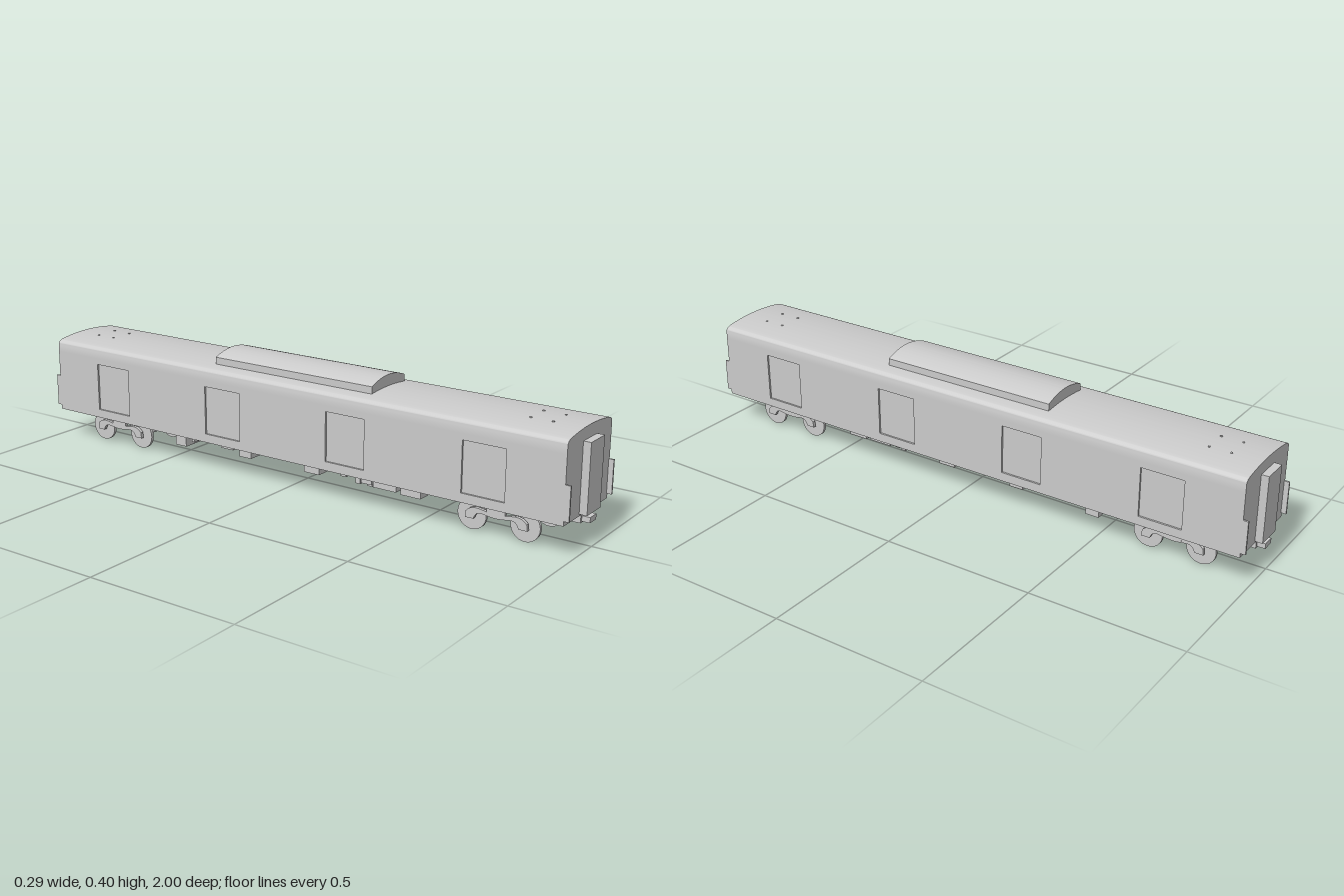
import * as THREE from 'three';
import { toCreasedNormals } from 'three/addons/utils/BufferGeometryUtils.js';

const material = new THREE.MeshStandardMaterial({ color: 0xcccccc });

function add(parent, name, geometry, x = 0, y = 0, z = 0) {
  const mesh = new THREE.Mesh(geometry, material);
  mesh.name = name;
  mesh.position.set(x, y, z);
  parent.add(mesh);
  return mesh;
}

// Box given by its limits on each axis
function addBox(parent, name, [x0, x1], [y0, y1], [z0, z1]) {
  return add(parent, name, new THREE.BoxGeometry(x1 - x0, y1 - y0, z1 - z0),
    (x0 + x1) / 2, (y0 + y1) / 2, (z0 + z1) / 2);
}

// Cross-section in x and y, run along z and centred
function extrudeAlongZ(shape, length) {
  const g = new THREE.ExtrudeGeometry(shape, { depth: length, bevelEnabled: false, curveSegments: 16 });
  g.translate(0, 0, -length / 2);
  return toCreasedNormals(g, 0.5);
}

// Outline in z and y, given thickness along x and centred
function extrudeAlongX(shape, thickness) {
  const g = new THREE.ExtrudeGeometry(shape, { depth: thickness, bevelEnabled: false, curveSegments: 16 });
  g.translate(0, 0, -thickness / 2);
  g.rotateY(-Math.PI / 2);
  return toCreasedNormals(g, 0.5);
}

function rectPath(x0, x1, y0, y1) {
  return new THREE.Path([[x0, y0], [x1, y0], [x1, y1], [x0, y1]].map(p => new THREE.Vector2(...p)));
}

const HALF = 0.976, WIDE = 0.143, WALL = 0.006, FLOOR = 0.1, EAVE = 0.31;

function buildBody(group) {
  addBox(group, 'bodyCore', [-WIDE + WALL, WIDE - WALL], [FLOOR, EAVE], [-HALF, HALF]);

  // Roof with rounded shoulders and a shallow crown
  const roof = new THREE.Shape();
  roof.moveTo(-WIDE, EAVE);
  roof.lineTo(WIDE, EAVE);
  roof.lineTo(WIDE, 0.331);
  roof.bezierCurveTo(WIDE, 0.343, 0.137, 0.348, 0.125, 0.351);
  roof.bezierCurveTo(0.085, 0.3585, 0.04, 0.362, 0, 0.362);
  roof.bezierCurveTo(-0.04, 0.362, -0.085, 0.3585, -0.125, 0.351);
  roof.bezierCurveTo(-0.137, 0.348, -WIDE, 0.343, -WIDE, 0.331);
  add(group, 'roof', extrudeAlongZ(roof, HALF * 2));

  // Side walls with door recesses and end tabs
  const T = 0.992, lo = 0.115, hi = 0.222;
  const outline = [[-HALF, FLOOR], [HALF, FLOOR], [HALF, lo], [T, lo], [T, hi], [HALF, hi], [HALF, EAVE],
    [-HALF, EAVE], [-HALF, hi], [-T, hi], [-T, lo], [-HALF, lo]];
  const wall = new THREE.Shape(outline.map(p => new THREE.Vector2(...p)));
  for (const z of [-0.72, -0.24, 0.24, 0.72]) wall.holes.push(rectPath(z - 0.071, z + 0.071, 0.129, 0.29));
  const wallGeometry = extrudeAlongX(wall, WALL);
  for (const s of [-1, 1]) add(group, s > 0 ? 'leftWall' : 'rightWall', wallGeometry, s * (WIDE - WALL / 2));

  // Raised roof pod
  const pod = new THREE.Shape();
  pod.moveTo(-0.092, 0.35);
  pod.lineTo(0.092, 0.35);
  pod.lineTo(0.092, 0.379);
  pod.quadraticCurveTo(0.045, 0.398, 0, 0.398);
  pod.quadraticCurveTo(-0.045, 0.398, -0.092, 0.379);
  add(group, 'roofPod', extrudeAlongZ(pod, 0.608));

  // Small roof studs near both ends
  const stud = new THREE.CylinderGeometry(0.004, 0.004, 0.006, 10);
  for (const z of [-0.88, -0.81, 0.81, 0.88])
    for (const x of [-0.04, 0.04]) add(group, 'roofStud', stud, x, 0.36, z);
}

function buildEnd() {
  const end = new THREE.Group();
  addBox(end, 'gangway', [-0.044, 0.044], [0.106, 0.323], [HALF - 0.01, 1]);
  addBox(end, 'couplerBlock', [-0.027, 0.027], [0.073, 0.102], [0.928, 0.974]);
  addBox(end, 'couplerHead', [-0.02, 0.02], [0.077, 0.094], [0.97, 1]);
  return end;
}

function buildBogie() {
  const bogie = new THREE.Group();
  const AXLE = 0.0875, R = 0.048;
  const wheel = toCreasedNormals(new THREE.CylinderGeometry(R, R, 0.01, 32).rotateZ(Math.PI / 2), 0.5);
  const axle = toCreasedNormals(new THREE.CylinderGeometry(0.008, 0.008, 0.196, 16).rotateZ(Math.PI / 2), 0.5);

  // Side beam sagging between the axle ends
  const beam = new THREE.Shape();
  beam.moveTo(-0.102, 0.04);
  beam.lineTo(-0.074, 0.04);
  beam.bezierCurveTo(-0.062, 0.075, -0.045, 0.056, 0, 0.056);
  beam.bezierCurveTo(0.045, 0.056, 0.062, 0.075, 0.074, 0.04);
  beam.lineTo(0.102, 0.04);
  beam.lineTo(0.1, 0.06);
  beam.bezierCurveTo(0.075, 0.09, 0.045, 0.068, 0, 0.068);
  beam.bezierCurveTo(-0.045, 0.068, -0.075, 0.09, -0.1, 0.06);
  const beamGeometry = extrudeAlongX(beam, 0.011);

  for (const z of [-AXLE, AXLE]) {
    add(bogie, 'axle', axle, 0, R, z);
    for (const x of [-0.077, 0.077]) add(bogie, 'wheel', wheel, x, R, z);
  }
  for (const s of [-1, 1]) {
    add(bogie, 'sideBeam', beamGeometry, s * 0.0925);
    addBox(bogie, 'springSeat', [s * 0.0925 - 0.006, s * 0.0925 + 0.006], [0.06, 0.083], [-0.03, 0.03]);
  }
  addBox(bogie, 'bolster', [-0.09, 0.09], [0.08, 0.102], [-0.03, 0.03]);
  return bogie;
}

function buildUnderfloor(group) {
  // Front z, back z, underside height, half width
  const boxes = [
    [0.482, 0.412, 0.057, 0.09], [0.395, 0.312, 0.06, 0.09], [0.306, 0.268, 0.065, 0.09],
    [0.3, 0.282, 0.054, 0.075], [0.264, 0.247, 0.06, 0.09], [0.212, 0.19, 0.072, 0.09],
    [0.184, 0.148, 0.08, 0.09], [0.142, 0.115, 0.075, 0.06], [0.108, 0.05, 0.057, 0.09],
    [-0.165, -0.213, 0.057, 0.09], [-0.24, -0.29, 0.072, 0.09], [-0.3, -0.345, 0.08, 0.09],
    [-0.352, -0.402, 0.082, 0.09], [-0.414, -0.426, 0.064, 0.08], [-0.443, -0.488, 0.046, 0.09],
  ];
  for (const [z1, z0, y, w] of boxes) addBox(group, 'underfloorBox', [-w, w], [y, 0.102], [z0, z1]);
}

export function createModel() {
  const model = new THREE.Group();
  model.name = 'railCar';
  buildBody(model);
  buildUnderfloor(model);
  for (const s of [1, -1]) {
    const label = s > 0 ? 'front' : 'rear';
    const end = buildEnd();
    end.name = label + 'End';
    end.rotation.y = s > 0 ? 0 : Math.PI;
    const bogie = buildBogie();
    bogie.name = label + 'Bogie';
    bogie.position.z = s * 0.742;
    model.add(end, bogie);
  }
  return model;
}
